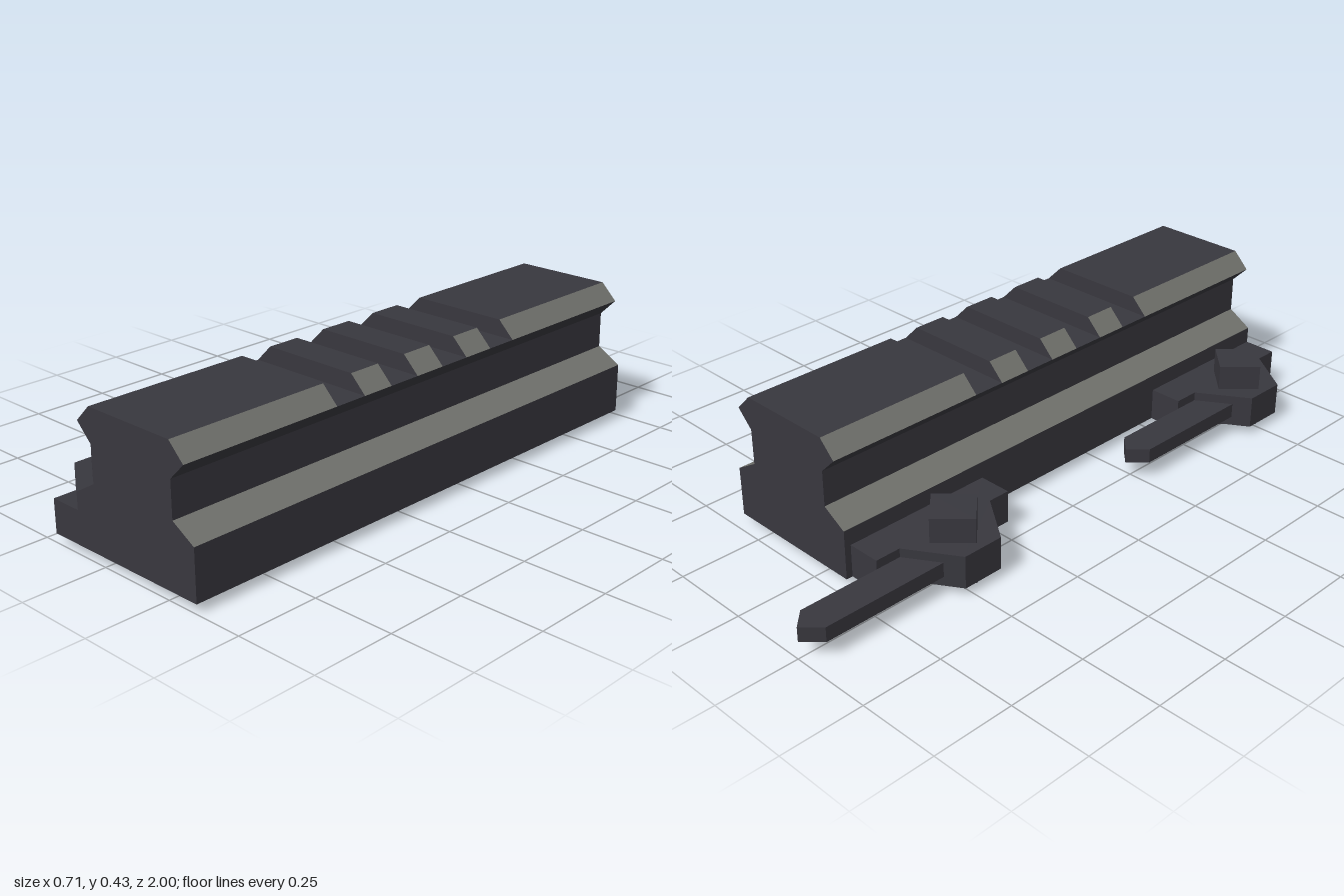
import * as THREE from 'three';

const darkMetal = new THREE.MeshStandardMaterial({ color: 0x38373e });
darkMetal.name = 'darkMetal';
const wornEdge = new THREE.MeshStandardMaterial({ color: 0x71726d });
wornEdge.name = 'wornEdge';

const toShape = (points) => new THREE.Shape(points.map(([x, y]) => new THREE.Vector2(x, y)));

// Bar along z; its upward slopes take the worn colour
function railBar(name, profile, z0, z1) {
  const geometry = new THREE.ExtrudeGeometry(toShape(profile), { depth: z1 - z0, bevelEnabled: false });
  geometry.translate(0, 0, z0);
  const normal = geometry.attributes.normal;
  geometry.clearGroups();
  for (let i = 0; i < normal.count; i += 3) {
    const sloped = normal.getY(i) > 0.1 && Math.abs(normal.getX(i)) > 0.1;
    geometry.addGroup(i, 3, sloped ? 1 : 0);
  }
  const mesh = new THREE.Mesh(geometry, [darkMetal, wornEdge]);
  mesh.name = name;
  return mesh;
}

// Flat plate with an outline in x and z, between two heights
function plate(name, outline, y0, y1) {
  const geometry = new THREE.ExtrudeGeometry(toShape(outline), { depth: y1 - y0, bevelEnabled: false });
  geometry.rotateX(Math.PI / 2).translate(0, y1, 0);
  const mesh = new THREE.Mesh(geometry, darkMetal);
  mesh.name = name;
  return mesh;
}

// Clamp with its bolt and lever; z is measured from the bolt centre
function clamp(name, z) {
  const group = new THREE.Group();
  group.name = name;
  group.add(
    plate('clampPlate', [
      [-0.1, -0.24], [-0.205, -0.24], [-0.205, -0.16], [-0.355, -0.065],
      [-0.355, 0.065], [-0.205, 0.17], [-0.205, 0.24], [-0.1, 0.24],
    ], 0.027, 0.127),
    plate('clampBolt', [[-0.33, 0], [-0.242, -0.088], [-0.153, 0], [-0.242, 0.088]], 0, 0.203),
    plate('clampLever', [
      [-0.305, 0], [-0.305, -0.49], [-0.255, -0.54], [-0.205, -0.49], [-0.205, 0],
    ], 0.055, 0.1),
  );
  group.position.z = z;
  return group;
}

export function createModel() {
  const model = new THREE.Group();
  model.name = 'railMount';

  // Body up to the floor of the cross slots
  model.add(railBar('railBody', [
    [-0.102, 0.027], [0.353, 0.027], [0.353, 0.178], [0.278, 0.222], [0.278, 0.33], [0.328, 0.38],
    [-0.077, 0.38], [-0.027, 0.33], [-0.027, 0.222], [-0.102, 0.178],
  ], -0.72, 1));

  // Raised ribs between the slots
  const rib = [[-0.077, 0.38], [0.328, 0.38], [0.278, 0.43], [-0.027, 0.43]];
  const spans = [[-0.72, -0.215], [-0.115, -0.012], [0.088, 0.19], [0.292, 0.393], [0.495, 1]];
  spans.forEach(([z0, z1]) => model.add(railBar('topRib', rib, z0, z1)));

  model.add(clamp('rearClamp', -0.46), clamp('frontClamp', 0.76));
  return model;
}
